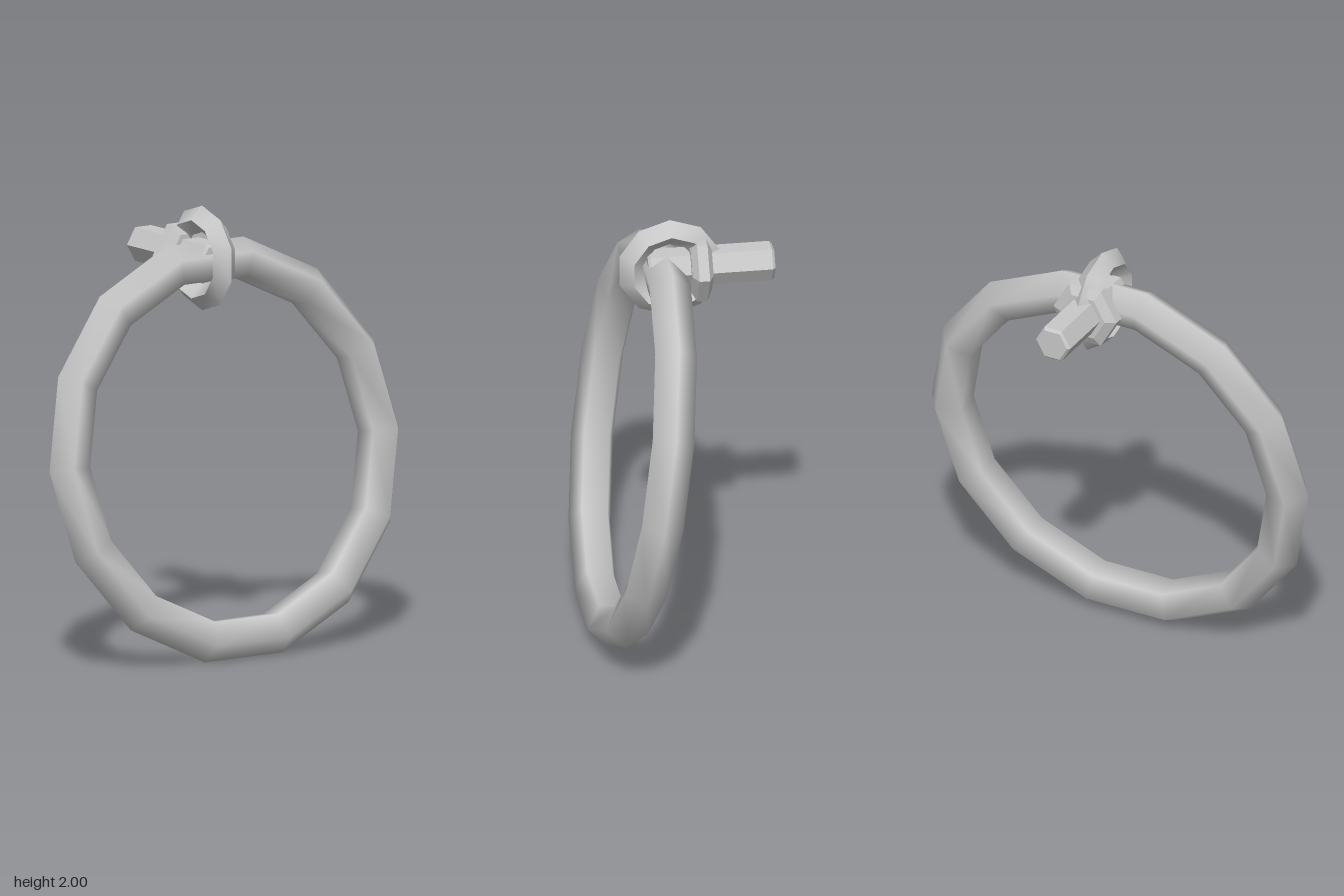
import * as THREE from 'three';
import { toCreasedNormals } from 'three/addons/utils/BufferGeometryUtils.js';

const PEG_Y = 1.763; // height of the peg axis

export function createModel() {
  const group = new THREE.Group();
  const metal = new THREE.MeshStandardMaterial({ color: 0xc8c8c8 });
  metal.name = 'grey metal';

  const add = (name, geometry, x, y, z) => {
    const mesh = new THREE.Mesh(geometry, metal);
    mesh.name = name;
    mesh.position.set(x, y, z);
    group.add(mesh);
    return mesh;
  };

  // six-sided solid along z, from [radius, z] pairs running back to front
  const hexSolid = (profile) => {
    const points = profile.map(([r, z]) => new THREE.Vector2(r, z));
    const geometry = new THREE.LatheGeometry(points, 6, Math.PI / 2);
    geometry.rotateX(Math.PI / 2);
    return toCreasedNormals(geometry, 0.05);
  };

  // large hanging ring, leaning back at the top
  const ring = add('hangingRing', new THREE.TorusGeometry(0.855, 0.1, 5, 14), 0, 0.921, 0.2);
  ring.rotation.x = THREE.MathUtils.degToRad(-9.2);

  // small upright loop that holds the ring
  const loop = new THREE.TorusGeometry(0.177, 0.06, 4, 10);
  loop.rotateZ(Math.PI / 10);
  loop.rotateY(Math.PI / 2);
  add('holdingLoop', toCreasedNormals(loop, 0.7), 0, PEG_Y, 0.033);

  // wall peg with softened ends
  add('peg', hexSolid([
    [0, -0.432], [0.076, -0.432], [0.088, -0.42],
    [0.088, 0.125], [0.076, 0.137], [0, 0.137],
  ]), 0, PEG_Y, 0);

  // chamfered collar around the peg
  add('collar', hexSolid([
    [0, -0.148], [0.112, -0.148], [0.16, -0.125],
    [0.16, -0.078], [0.112, -0.053], [0, -0.053],
  ]), 0, PEG_Y, 0);

  return group;
}
